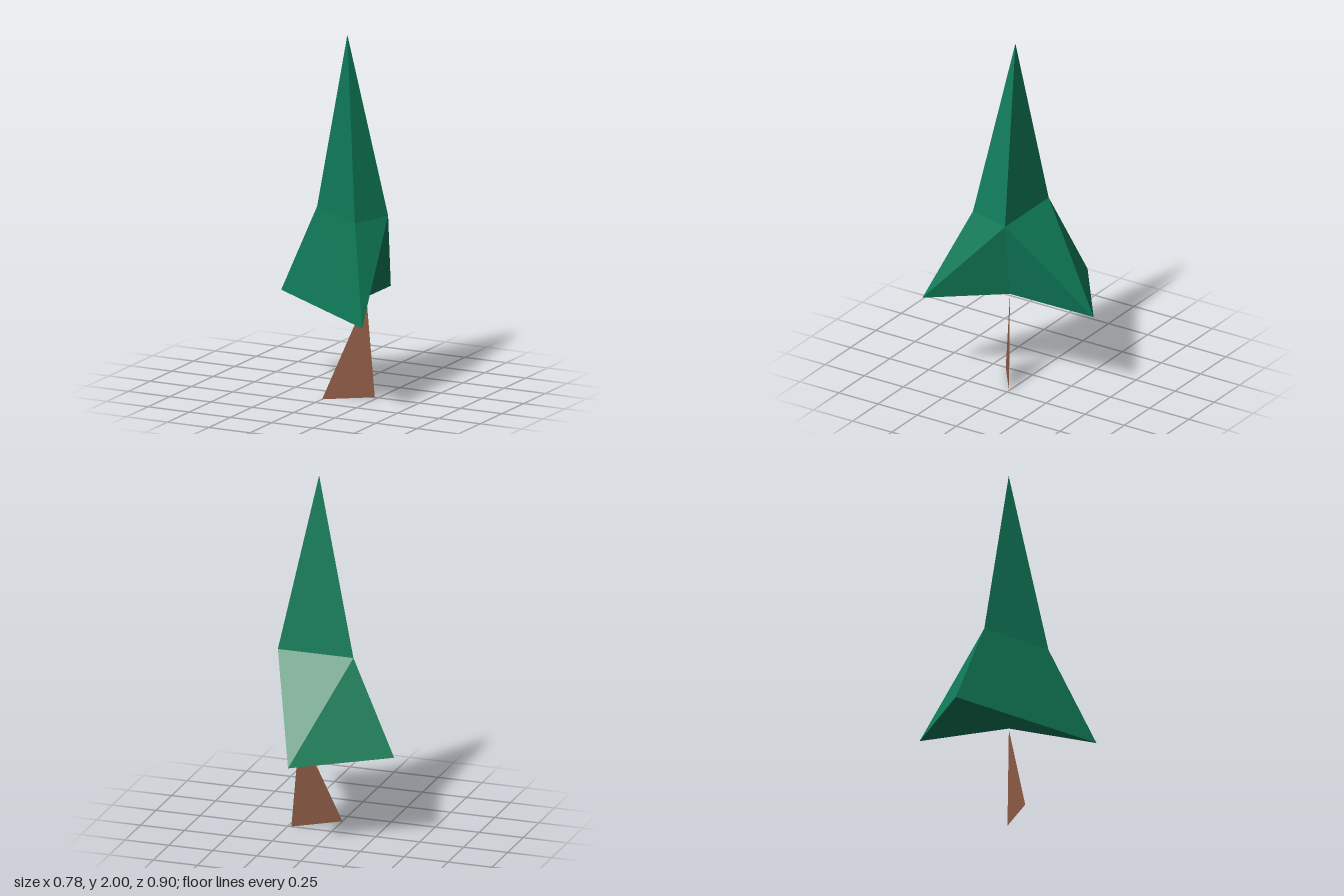
import * as THREE from 'three';

const foliageGreen = new THREE.MeshStandardMaterial({ color: 0x107c59, flatShading: true });
const barkBrown = new THREE.MeshStandardMaterial({ color: 0x96624b, flatShading: true, side: THREE.DoubleSide });

// Faceted mesh from named corners; each face is a three-letter word
function faceted(name, corners, faces, material) {
  const points = faces.flatMap((face) => [...face].flatMap((key) => corners[key]));
  const geometry = new THREE.BufferGeometry();
  geometry.setAttribute('position', new THREE.Float32BufferAttribute(points, 3));
  geometry.computeVertexNormals();
  const mesh = new THREE.Mesh(geometry, material);
  mesh.name = name;
  return mesh;
}

export function createModel() {
  const group = new THREE.Group();
  group.name = 'pineTree';

  // Foliage: tip, three-cornered waist, wide three-cornered hem and a raised hem notch
  const foliage = {
    T: [0.09, 2, 0.05],
    D: [0.30, 1.01, -0.02], E: [0.23, 1.01, 0.23], F: [-0.13, 1.01, -0.02],
    A: [-0.39, 0.5, -0.10], B: [0.09, 0.5, -0.45], C: [0.39, 0.5, 0.45],
    H: [0.19, 0.555, 0.02],
  };
  group.add(faceted('upperFoliage', foliage, ['TFE', 'TED', 'TDF'], foliageGreen));
  group.add(faceted('lowerFoliage', foliage,
    ['ACF', 'FCE', 'ECD', 'DCH', 'DHB', 'FDB', 'FBA'], foliageGreen));
  group.add(faceted('foliageUnderside', foliage, ['ABH', 'AHC'], foliageGreen));

  // Trunk: a flat blade tapering up to the notch
  const trunk = { L: [0, 0, 0.17], R: [0.23, 0, 0], P: [0.19, 0.55, 0.02] };
  group.add(faceted('trunk', trunk, ['LRP'], barkBrown));

  return group;
}
